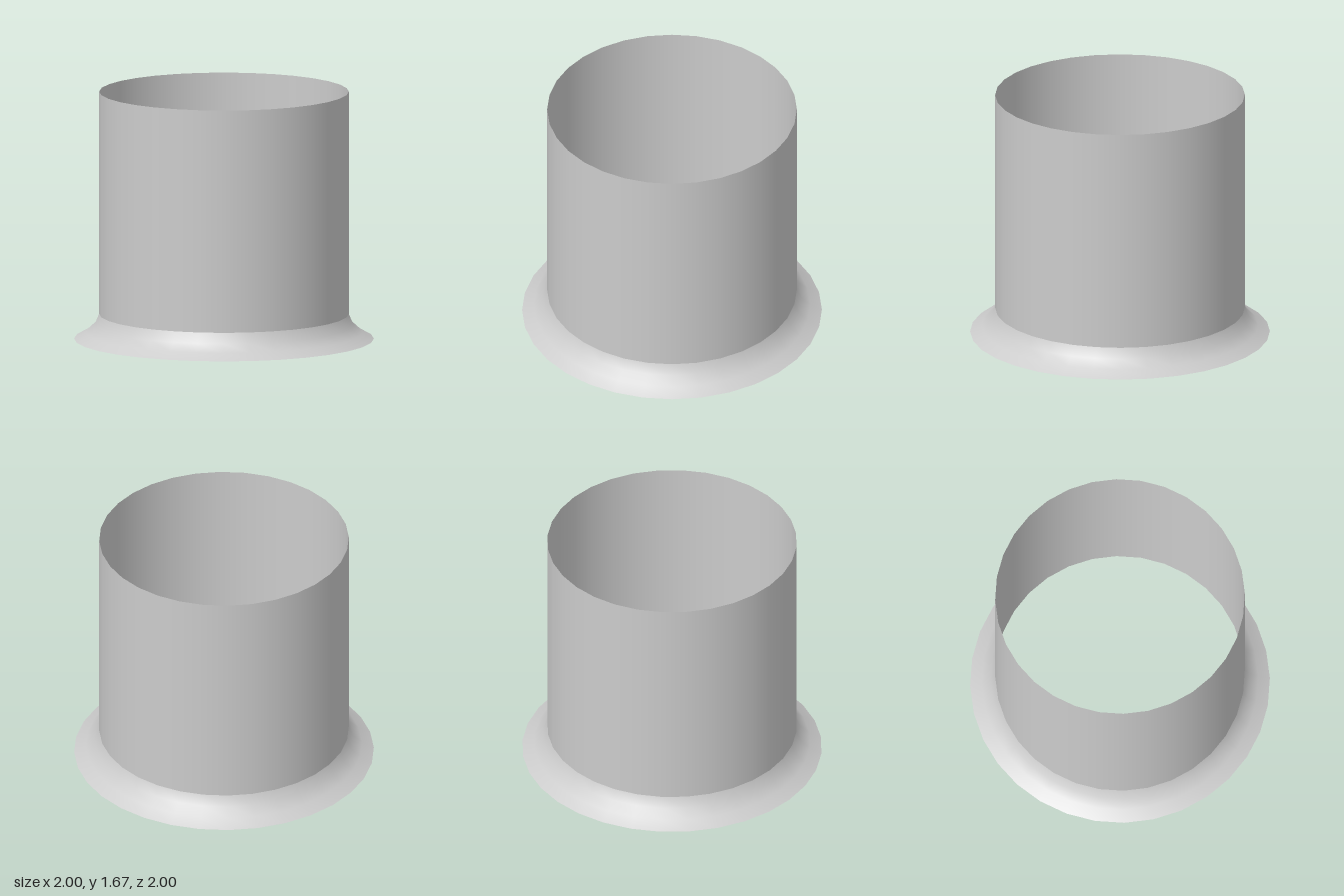
import * as THREE from 'three';

const SEGMENTS = 32;
const TUBE_RADIUS = 0.833;
const FLARE_TOP = 0.167;
const HEIGHT = 1.667;

// Thin open surface of revolution from [radius, height] points, bottom to top
function revolve(name, profile, material) {
  const points = profile.map(([r, y]) => new THREE.Vector2(r, y));
  const mesh = new THREE.Mesh(new THREE.LatheGeometry(points, SEGMENTS), material);
  mesh.name = name;
  return mesh;
}

export function createModel() {
  const model = new THREE.Group();
  model.name = 'flangedSleeve';
  const material = new THREE.MeshStandardMaterial({ color: 0xcccccc, side: THREE.DoubleSide });

  // Straight open tube
  model.add(revolve('tube', [[TUBE_RADIUS, FLARE_TOP], [TUBE_RADIUS, HEIGHT]], material));

  // Concave skirt flaring out to the ground; separate so the joint stays crisp
  model.add(revolve('flaredSkirt',
    [[1, 0], [0.922, 0.044], [0.863, 0.097], [TUBE_RADIUS, FLARE_TOP]], material));

  return model;
}
